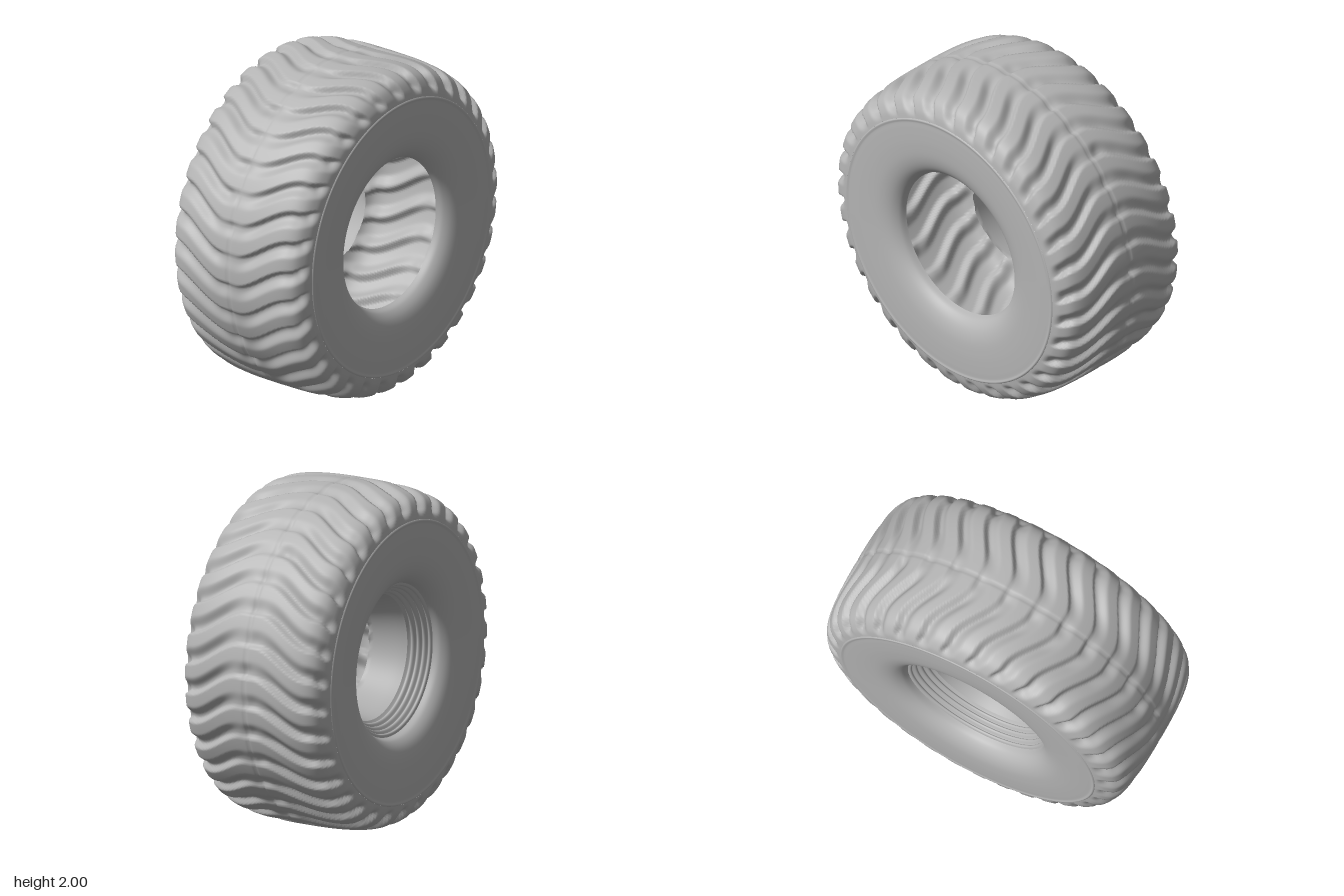
import * as THREE from 'three';

const rubber = new THREE.MeshStandardMaterial({ color: 0xb4b4b4, side: THREE.DoubleSide });
rubber.name = 'grey rubber';

const LUGS = 34;
const smooth = (x, a, b) => THREE.MathUtils.smoothstep(x, a, b);
const noise = (n) => { const s = Math.sin(n * 12.9898) * 43758.5453; return s - Math.floor(s); };

// Revolve an (x, radius) profile about the x axis; dent(x, t, angle) pushes the skin inwards.
function revolve(name, profile, steps, segments, dent) {
  const curve = new THREE.SplineCurve(profile.map(([x, r]) => new THREE.Vector2(x, r)));
  const pos = [], index = [];
  for (let i = 0; i <= steps; i++) {
    const t = i / steps;
    const p = curve.getPointAt(t), d = curve.getTangentAt(t);
    for (let j = 0; j < segments; j++) {
      const angle = (j / segments) * Math.PI * 2;
      const k = dent ? dent(p.x, t, angle, j) : 0;
      const x = p.x - d.y * k, r = p.y + d.x * k;
      pos.push(x, 1 + r * Math.sin(angle), r * Math.cos(angle));
      if (i < steps) {
        const a = i * segments + j, b = i * segments + (j + 1) % segments;
        index.push(a, b, a + segments, b, b + segments, a + segments);
      }
    }
  }
  const geo = new THREE.BufferGeometry();
  geo.setAttribute('position', new THREE.Float32BufferAttribute(pos, 3));
  geo.setIndex(index);
  geo.computeVertexNormals();
  const mesh = new THREE.Mesh(geo, rubber);
  mesh.name = name;
  return mesh;
}

// Chevron grooves between the lugs, with ragged notches where the two halves meet
function treadDent(x, t, angle) {
  const a = Math.abs(x);
  const side = Math.abs(t - 0.5) * 2;
  const wave = angle - 0.16 * smooth(a, 0.05, 0.4) - 0.05 * smooth(side, 0.7, 1);
  const turn = (wave / (Math.PI * 2)) * LUGS + LUGS;
  const lug = Math.floor(turn) % LUGS, p = turn - Math.floor(turn);
  const groove = smooth(p, 0.02, 0.4) * (1 - smooth(p, 0.48, 0.62));
  const depth = 0.034 * (0.3 + 0.7 * smooth(a, 0.03, 0.2)) * (1 - smooth(side, 0.86, 0.98));
  const centre = -0.04 + 0.08 * (noise(lug) - 0.5);
  const notch = 0.022 * (0.4 + 0.6 * noise(lug + 50)) * groove *
    Math.exp(-(((x - centre) / 0.045) ** 2));
  const seam = 0.006 * Math.exp(-((x / 0.008) ** 2));
  return groove * depth + notch + seam;
}

export function createModel() {
  const tyre = new THREE.Group();
  tyre.name = 'tyre';

  // Tread band with rounded shoulders
  const half = [[0.472, 0.825], [0.46, 0.88], [0.42, 0.94], [0.34, 0.975], [0.2, 0.993]];
  const mirror = half.map(([x, r]) => [-x, r]).reverse();
  tyre.add(revolve('tread', [...half, [0, 0.998], ...mirror], 88, LUGS * 16, treadDent));

  // Sidewalls: a thin raised seam, a flat wall, then a rounded bead
  const wall = [[0.472, 0.825], [0.479, 0.817], [0.474, 0.805], [0.475, 0.76], [0.474, 0.66],
    [0.466, 0.57], [0.445, 0.505], [0.41, 0.462], [0.37, 0.445]];
  tyre.add(revolve('leftSidewall', wall.slice().reverse(), 60, 120));
  tyre.add(revolve('rightSidewall', wall.map(([x, r]) => [-x, r]), 60, 120));

  // Stepped rings at the right bead
  const rings = [[-0.37, 0.445]];
  for (let i = 0; i < 4; i++) {
    const x = -0.365 + i * 0.028, r = 0.43 - i * 0.017;
    rings.push([x, r], [x + 0.01, r - 0.004], [x + 0.016, r + 0.003]);
  }
  rings.push([-0.25, 0.365]);
  tyre.add(revolve('beadRings', rings, 60, 120));

  // Tapered bore that ends in a ragged edge inside the hollow tyre
  const bore = [[-0.25, 0.365], [-0.2, 0.35], [-0.1, 0.325], [-0.03, 0.308]];
  tyre.add(revolve('bore', bore, 16, 120,
    (x, t, angle, j) => t > 0.99 ? 0.012 * (noise(Math.floor(j / 3)) - 0.5) : 0));

  return tyre;
}
